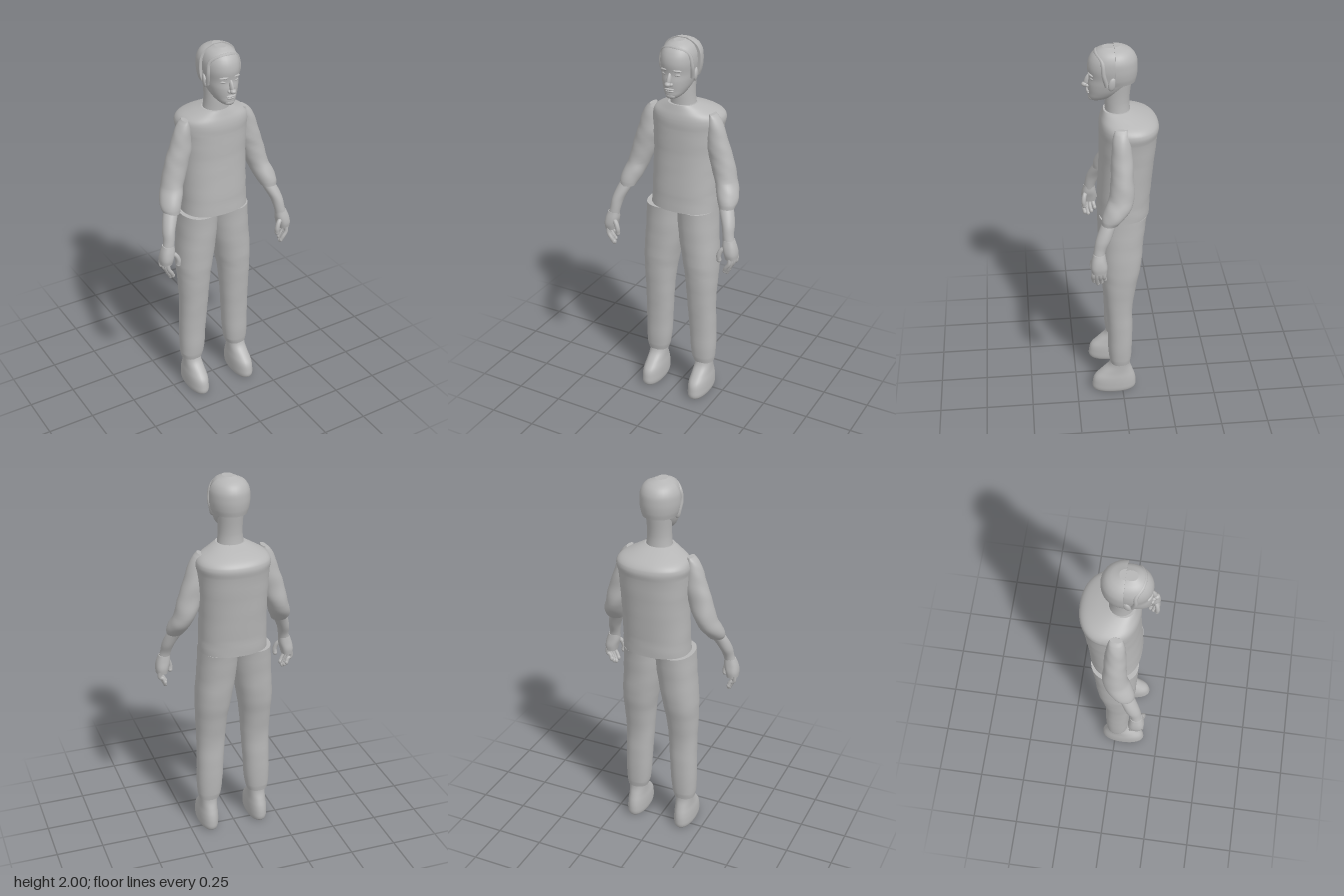
import * as THREE from 'three';

const plaster = new THREE.MeshStandardMaterial({ color: 0xb6b6b6 });

// Smooth body through horizontal oval sections, listed bottom to top:
// [y, xMin, xMax, zMin, zMax]
function loft(name, rows, { n = 2, seg = 32, sub = 5, zClip = Infinity, fold = 0 } = {}) {
  const curve = new THREE.CubicInterpolant(rows.map(r => r[0]), rows.flatMap(r => r.slice(1)), 4);
  const pos = [], index = [], ys = [];
  rows.forEach((r, i) => {
    if (i) for (let k = 1; k <= sub; k++) ys.push(rows[i - 1][0] + (r[0] - rows[i - 1][0]) * k / sub);
    else ys.push(r[0]);
  });
  const round = v => Math.sign(v) * Math.abs(v) ** (2 / n);
  const ring = y => {
    const [x0, x1, z0, z1] = curve.evaluate(y);
    for (let j = 0; j < seg; j++) {
      const a = j / seg * Math.PI * 2;
      // soft cloth folds
      const f = 1 + fold * Math.sin(y * 55 + 2.5 * Math.sin(a + y * 9)) * Math.sin(a * 2 + y * 17);
      pos.push((x0 + x1) / 2 + (x1 - x0) / 2 * f * round(Math.sin(a)), y,
        Math.min(zClip, (z0 + z1) / 2 + (z1 - z0) / 2 * f * round(Math.cos(a))));
    }
    return [(x0 + x1) / 2, y, Math.min(zClip, (z0 + z1) / 2)];
  };
  ys.forEach((y, i) => {
    ring(y);
    if (!i) return;
    for (let j = 0; j < seg; j++) {
      const a = (i - 1) * seg + j, b = (i - 1) * seg + (j + 1) % seg;
      index.push(a, b, b + seg, a, b + seg, a + seg);
    }
  });
  // end caps with their own corners so the rims stay sharp
  [ys[0], ys[ys.length - 1]].forEach((y, top) => {
    const s = pos.length / 3;
    pos.push(...ring(y));
    for (let j = 0; j < seg; j++) {
      const a = s + j, b = s + (j + 1) % seg;
      index.push(s + seg, top ? a : b, top ? b : a);
    }
  });
  const g = new THREE.BufferGeometry();
  g.setAttribute('position', new THREE.Float32BufferAttribute(pos, 3));
  g.setIndex(index);
  g.computeVertexNormals();
  const m = new THREE.Mesh(g, plaster);
  m.name = name;
  return m;
}

function ellipsoid(name, p, r, rot = [0, 0, 0]) {
  const m = new THREE.Mesh(new THREE.SphereGeometry(1, 20, 14), plaster);
  m.name = name;
  m.position.set(...p);
  m.scale.set(...r);
  m.rotation.set(...rot);
  return m;
}

function tube(name, pts, r) {
  const c = new THREE.CatmullRomCurve3(pts.map(p => new THREE.Vector3(...p)));
  const m = new THREE.Mesh(new THREE.TubeGeometry(c, 32, r, 8), plaster);
  m.name = name;
  return m;
}

// Mirror and shift sections written for the +x side
const onSide = (s, rows, shift = 0) => rows.map(([y, a, b, c, d]) =>
  s > 0 ? [y, a + shift, b + shift, c, d] : [y, -b + shift, -a + shift, c, d]);

function makeHead() {
  const g = new THREE.Group();
  g.name = 'head';
  g.position.x = 0.012;
  g.add(loft('neck', [
    [1.61, -0.08, 0.08, -0.06, 0.08], [1.66, -0.068, 0.068, -0.05, 0.075],
    [1.72, -0.062, 0.062, -0.046, 0.075], [1.84, -0.066, 0.066, -0.06, 0.07]]));
  g.add(loft('face', [
    [1.722, -0.02, 0.02, 0.09, 0.14], [1.732, -0.036, 0.036, 0.06, 0.152],
    [1.765, -0.06, 0.06, 0.0, 0.156], [1.81, -0.076, 0.076, -0.05, 0.158],
    [1.845, -0.082, 0.082, -0.06, 0.153], [1.9, -0.088, 0.088, -0.06, 0.158],
    [1.95, -0.08, 0.08, -0.055, 0.143], [1.98, -0.058, 0.058, -0.03, 0.115],
    [1.996, -0.026, 0.026, 0.02, 0.085]], { n: 2.15 }));
  g.add(loft('backHair', [
    [1.82, -0.088, 0.088, -0.075, 0.125], [1.85, -0.098, 0.098, -0.082, 0.14],
    [1.9, -0.103, 0.103, -0.085, 0.145], [1.95, -0.095, 0.095, -0.075, 0.135],
    [1.982, -0.068, 0.068, -0.045, 0.105], [2, -0.028, 0.028, 0, 0.06]], { zClip: 0.03 }));
  g.add(tube('frontHairline', [
    [-0.078, 1.82, 0.07], [-0.085, 1.88, 0.085], [-0.076, 1.935, 0.085], [-0.035, 1.965, 0.11],
    [0.02, 1.968, 0.115], [0.07, 1.94, 0.09], [0.085, 1.88, 0.085], [0.078, 1.82, 0.07]], 0.011));
  g.add(ellipsoid('noseBridge', [0, 1.825, 0.157], [0.011, 0.035, 0.016], [-0.35, 0, 0]));
  g.add(ellipsoid('noseTip', [0, 1.803, 0.172], [0.015, 0.012, 0.016]));
  g.add(ellipsoid('upperLip', [0, 1.774, 0.156], [0.027, 0.006, 0.01]));
  g.add(ellipsoid('lowerLip', [0, 1.764, 0.154], [0.022, 0.007, 0.01]));
  g.add(ellipsoid('chin', [0, 1.738, 0.143], [0.026, 0.016, 0.014]));
  for (const s of [-1, 1]) {
    g.add(ellipsoid('nostril', [s * 0.014, 1.801, 0.16], [0.008, 0.008, 0.011]));
    g.add(ellipsoid('eye', [s * 0.035, 1.846, 0.139], [0.016, 0.007, 0.009], [0, s * 0.35, 0]));
    g.add(ellipsoid('eyebrow', [s * 0.036, 1.868, 0.145], [0.023, 0.006, 0.009], [0, s * 0.4, -s * 0.1]));
    g.add(ellipsoid('ear', [s * 0.083, 1.832, 0.045], [0.011, 0.034, 0.02], [-0.2, s * 0.3, 0]));
  }
  return g;
}

function makeArm(s) {
  const g = new THREE.Group();
  g.name = s > 0 ? 'leftArm' : 'rightArm';
  g.add(loft('sleeve', onSide(s, [
    [1.175, 0.238, 0.322, 0.035, 0.118], [1.2, 0.226, 0.328, 0.01, 0.115],
    [1.25, 0.205, 0.318, -0.03, 0.1], [1.3, 0.185, 0.3, -0.048, 0.078],
    [1.4, 0.15, 0.276, -0.046, 0.066], [1.48, 0.132, 0.248, -0.045, 0.062],
    [1.56, 0.135, 0.222, -0.035, 0.055], [1.61, 0.14, 0.195, -0.028, 0.046],
    [1.628, 0.148, 0.175, -0.022, 0.04]], s > 0 ? 0.012 : 0.0), { fold: 0.03 }));
  g.add(loft('forearm', onSide(s, [
    [1.0, 0.308, 0.37, 0.11, 0.166], [1.05, 0.3, 0.357, 0.1, 0.16],
    [1.1, 0.288, 0.352, 0.075, 0.15], [1.16, 0.26, 0.334, 0.05, 0.125],
    [1.22, 0.235, 0.305, 0.02, 0.095]])));
  g.add(loft('palm', onSide(s, [
    [0.93, 0.322, 0.382, 0.098, 0.172], [0.96, 0.315, 0.384, 0.095, 0.178],
    [0.995, 0.306, 0.378, 0.1, 0.174], [1.03, 0.306, 0.365, 0.105, 0.164]]), { n: 2.4 }));
  // four fingers hanging from the knuckles, front to back
  for (let i = 0; i < 4; i++) {
    const z = 0.163 - i * 0.018, x = 0.355 + i * 0.005, end = 0.85 + [0.012, 0, 0.012, 0.03][i];
    g.add(tube('finger', [[s * x, 0.945, z], [s * (x - 0.002), 0.91, z + 0.004],
      [s * (x - 0.018), end + 0.02, z + 0.003], [s * (x - 0.028), end, z - 0.002]], 0.0105));
    g.add(ellipsoid('fingertip', [s * (x - 0.028), end, z - 0.002], [0.0105, 0.013, 0.0105]));
  }
  g.add(tube('thumb', [[s * 0.335, 0.995, 0.15], [s * 0.308, 0.975, 0.163],
    [s * 0.296, 0.945, 0.168], [s * 0.297, 0.92, 0.165]], 0.0125));
  g.add(ellipsoid('thumbTip', [s * 0.297, 0.92, 0.165], [0.0125, 0.014, 0.0125]));
  return g;
}

function makeLeg(s) {
  const g = new THREE.Group();
  g.name = s > 0 ? 'leftLeg' : 'rightLeg';
  g.add(loft('trouserLeg', onSide(s, [
    [0.185, 0.085, 0.197, -0.042, 0.065], [0.22, 0.075, 0.203, -0.048, 0.072],
    [0.4, 0.06, 0.205, -0.055, 0.078], [0.55, 0.05, 0.203, -0.055, 0.088],
    [0.7, 0.038, 0.208, -0.078, 0.1], [0.8, 0.022, 0.21, -0.098, 0.106],
    [0.95, -0.002, 0.2, -0.112, 0.11], [1.1, -0.012, 0.19, -0.13, 0.115]],
    s > 0 ? -0.002 : 0), { n: 2.2, fold: 0.012 }));
  g.add(loft('shoe', onSide(s, [
    [0, 0.095, 0.185, -0.06, 0.152], [0.012, 0.09, 0.192, -0.07, 0.163],
    [0.05, 0.087, 0.195, -0.074, 0.164], [0.09, 0.088, 0.193, -0.068, 0.152],
    [0.125, 0.092, 0.188, -0.056, 0.118], [0.165, 0.094, 0.186, -0.042, 0.076],
    [0.21, 0.095, 0.187, -0.038, 0.058]], s > 0 ? 0.002 : 0), { n: 2.2 }));
  return g;
}

export function createModel() {
  const model = new THREE.Group();
  model.name = 'standingMan';
  model.add(loft('shirt', [
    [1.1, -0.168, 0.19, -0.147, 0.122], [1.2, -0.165, 0.188, -0.152, 0.118],
    [1.4, -0.162, 0.19, -0.17, 0.107], [1.54, -0.168, 0.2, -0.183, 0.106],
    [1.595, -0.17, 0.204, -0.187, 0.104], [1.62, -0.155, 0.185, -0.165, 0.1],
    [1.645, -0.11, 0.135, -0.115, 0.092], [1.668, -0.062, 0.086, -0.05, 0.084]],
    { n: 2.25, seg: 48, fold: 0.008 }));
  model.add(makeHead());
  for (const s of [-1, 1]) model.add(makeArm(s), makeLeg(s));
  return model;
}
